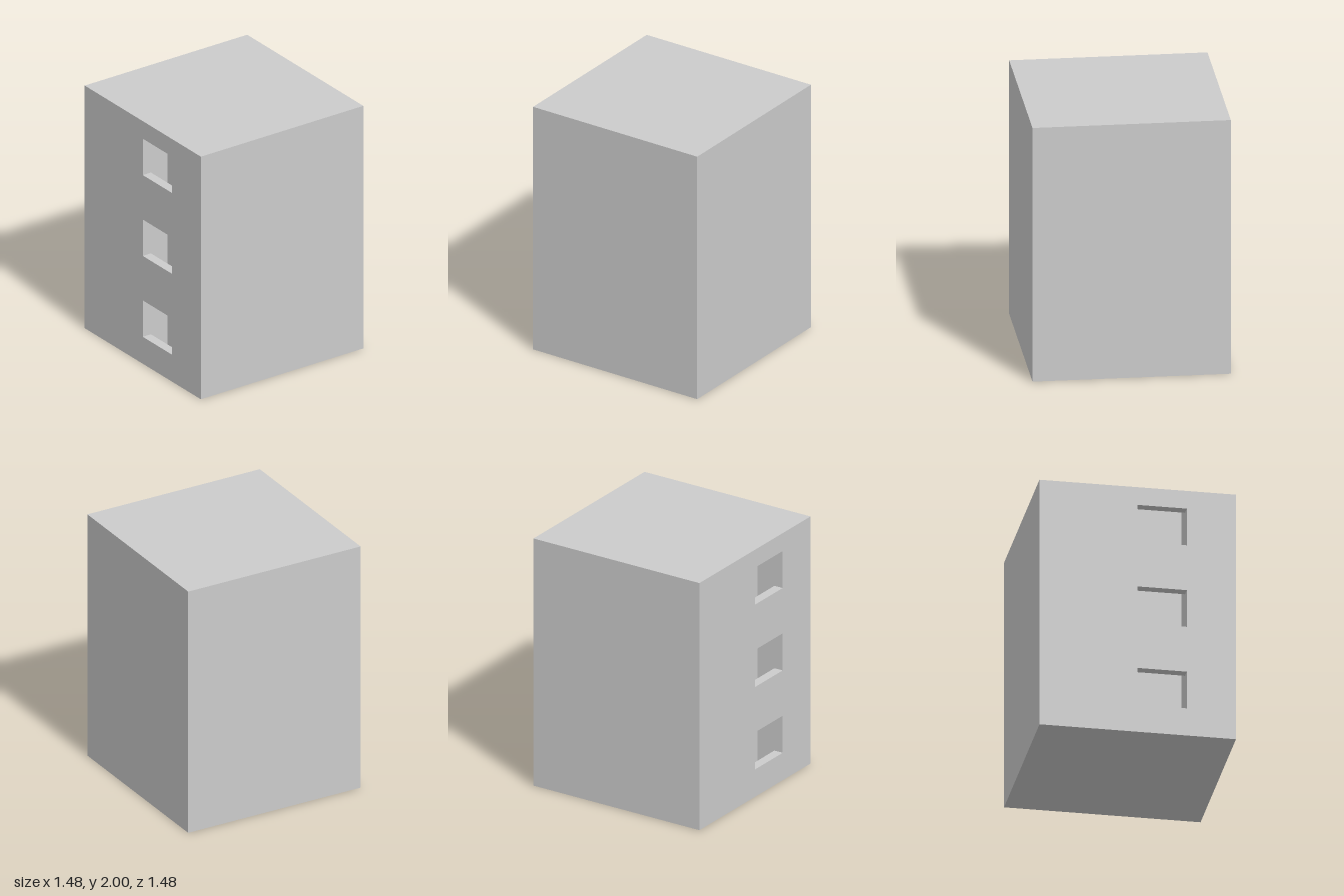
import * as THREE from 'three';

const WIDTH = 1.48, HEIGHT = 2, DEPTH = 1.48;
const STOREYS = 3, STOREY = HEIGHT / STOREYS;
const WALL = 0.074;                                          // front wall thickness
const WIN = { x: 0, w: 0.37, sill: 0.222, h: 0.3 };          // one window opening
const SHAFT = { d: 0.15, y0: WALL, y1: HEIGHT - WALL };      // cavity behind the windows

// Box without some faces (0 +x, 1 -x, 2 +y, 3 -y, 4 +z, 5 -z), optionally facing inward
function openBox(w, h, d, removed, inward = false) {
  const g = new THREE.BoxGeometry(w, h, d);
  const index = [];
  for (let face = 0; face < 6; face++) {
    if (removed.includes(face)) continue;
    for (let k = 0; k < 6; k += 3) {
      const [a, b, c] = [0, 1, 2].map((i) => g.index.getX(face * 6 + k + i));
      index.push(...(inward ? [a, c, b] : [a, b, c]));
    }
  }
  g.setIndex(index);
  g.clearGroups();
  g.computeVertexNormals();
  return g;
}

const rect = (Type, x0, y0, x1, y1) => new Type([
  new THREE.Vector2(x0, y0), new THREE.Vector2(x1, y0),
  new THREE.Vector2(x1, y1), new THREE.Vector2(x0, y1),
]);

// Flat panel pierced by the column of windows
function piercedPanel(x0, y0, x1, y1) {
  const shape = rect(THREE.Shape, x0, y0, x1, y1);
  for (let i = 0; i < STOREYS; i++) {
    const y = i * STOREY + WIN.sill;
    shape.holes.push(rect(THREE.Path, WIN.x, y, WIN.x + WIN.w, y + WIN.h));
  }
  return new THREE.ShapeGeometry(shape);
}

export function createModel() {
  const group = new THREE.Group();
  const material = new THREE.MeshStandardMaterial({ color: 0xcccccc, side: THREE.DoubleSide });
  const front = DEPTH / 2;
  const winX = WIN.x + WIN.w / 2;

  const add = (name, geometry, x, y, z) => {
    const mesh = new THREE.Mesh(geometry, material);
    mesh.name = name;
    mesh.position.set(x, y, z);
    group.add(mesh);
  };

  // Sides, back, roof and base
  add('outerWalls', openBox(WIDTH, HEIGHT, DEPTH, [4]), 0, HEIGHT / 2, 0);

  // Front wall with its window openings
  add('frontWall', piercedPanel(-WIDTH / 2, 0, WIDTH / 2, HEIGHT), 0, 0, front);

  // Sill, head and jambs of each window
  for (let i = 0; i < STOREYS; i++) {
    add(`windowReveal${i + 1}`, openBox(WIN.w, WIN.h, WALL, [4, 5], true),
      winX, i * STOREY + WIN.sill + WIN.h / 2, front - WALL / 2);
  }

  // Shallow cavity running behind the windows
  const shaftH = SHAFT.y1 - SHAFT.y0;
  add('shaft', openBox(WIN.w, shaftH, SHAFT.d, [4], true),
    winX, (SHAFT.y0 + SHAFT.y1) / 2, front - WALL - SHAFT.d / 2);

  // Inner face of the front wall between the openings
  for (let i = 0; i <= STOREYS; i++) {
    const y0 = i === 0 ? SHAFT.y0 : (i - 1) * STOREY + WIN.sill + WIN.h;
    const y1 = i === STOREYS ? SHAFT.y1 : i * STOREY + WIN.sill;
    const strip = new THREE.PlaneGeometry(WIN.w, y1 - y0).rotateY(Math.PI);
    add(`innerWall${i + 1}`, strip, winX, (y0 + y1) / 2, front - WALL);
  }

  return group;
}
